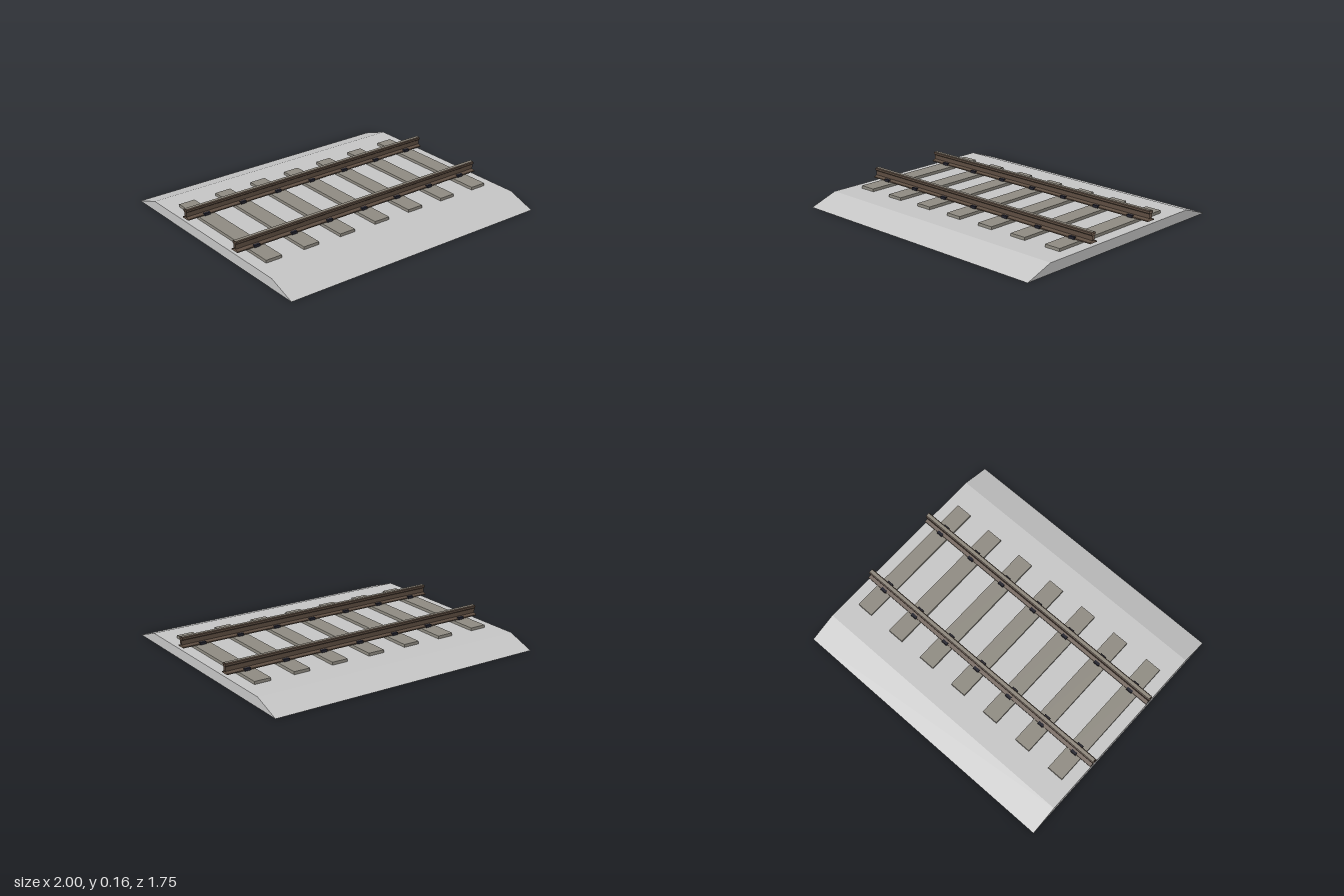
import * as THREE from 'three';

const material = (name, color) =>
  Object.assign(new THREE.MeshStandardMaterial({ color, side: THREE.DoubleSide }), { name });

// Flat-faced sheet swept along x; profile points are [z, y], running from +z over the top to -z
function sweep(profile, halfLength = 1) {
  const pos = [];
  for (let i = 0; i < profile.length - 1; i++) {
    const [z0, y0] = profile[i], [z1, y1] = profile[i + 1];
    const a = [-halfLength, y0, z0], b = [halfLength, y0, z0];
    const c = [halfLength, y1, z1], d = [-halfLength, y1, z1];
    pos.push(...a, ...b, ...c, ...a, ...c, ...d);
  }
  const geo = new THREE.BufferGeometry();
  geo.setAttribute('position', new THREE.Float32BufferAttribute(pos, 3));
  geo.computeVertexNormals();
  return geo;
}

// Box with its underside left open
function openBox(w, h, d) {
  const geo = new THREE.BoxGeometry(w, h, d);
  const index = Array.from(geo.index.array);
  index.splice(18, 6);
  geo.setIndex(index);
  geo.clearGroups();
  return geo;
}

export function createModel() {
  const model = new THREE.Group();
  model.name = 'railwayTrack';

  const gravel = material('gravelGrey', 0xc4c4c4);
  const wood = material('weatheredWood', 0x8e8a81);
  const rust = material('rustySteel', 0x5c4c40);
  const polished = material('wornSteel', 0x8c857a);
  const iron = material('darkIron', 0x22222c);

  const add = (parent, name, geo, mat, x = 0, y = 0, z = 0) => {
    const mesh = new THREE.Mesh(geo, mat);
    mesh.name = name;
    mesh.position.set(x, y, z);
    parent.add(mesh);
    return mesh;
  };

  // Ballast bed: sloped shoulders, closed ends, open underside
  const bed = new THREE.Group();
  bed.name = 'ballastBed';
  model.add(bed);
  const section = [[0.873, 0], [0.675, 0.07], [-0.675, 0.07], [-0.873, 0]];
  add(bed, 'ballastTop', sweep(section), gravel);
  const endShape = new THREE.Shape(section.map(([z, y]) => new THREE.Vector2(z, y)));
  for (const side of [1, -1]) {
    const end = add(bed, 'ballastEnd', new THREE.ShapeGeometry(endShape), gravel, side);
    end.rotation.y = side * Math.PI / 2;
  }

  // Sleepers, sunk into the bed
  const pitch = 0.2855, top = 0.09, bottom = 0.05;
  const sleeperGeo = openBox(0.118, top - bottom, 1.0);
  for (let i = -3; i <= 3; i++) {
    add(model, 'sleeper', sleeperGeo, wood, i * pitch, (top + bottom) / 2, 0);
  }

  // Rails: hollow I-section, open at both ends, with a worn running surface
  const half = [[0.032, 0.09], [0.032, 0.097], [0.009, 0.106], [0.009, 0.136],
    [0.018, 0.143], [0.018, 0.156], [0.012, 0.161]];
  const mirrored = half.map(([z, y]) => [-z, y]).reverse();
  const sideGeo = sweep(half);
  const otherSideGeo = sweep(mirrored);
  const footGeo = sweep([[-0.032, 0.09], [0.032, 0.09]]);
  const headGeo = sweep([[0.012, 0.161], [-0.012, 0.161]]);
  const clipGeo = new THREE.BoxGeometry(0.043, 0.018, 0.019);

  for (const side of [1, -1]) {
    const rail = new THREE.Group();
    rail.name = side > 0 ? 'frontRail' : 'backRail';
    rail.position.z = side * 0.284;
    model.add(rail);
    add(rail, 'railFrontFace', sideGeo, rust);
    add(rail, 'railBackFace', otherSideGeo, rust);
    add(rail, 'railFoot', footGeo, rust);
    add(rail, 'runningSurface', headGeo, polished);

    // Clips holding the rail foot on every sleeper
    for (let i = -3; i <= 3; i++) {
      for (const edge of [1, -1]) add(rail, 'railClip', clipGeo, iron, i * pitch, 0.098, edge * 0.031);
    }
  }
  return model;
}
